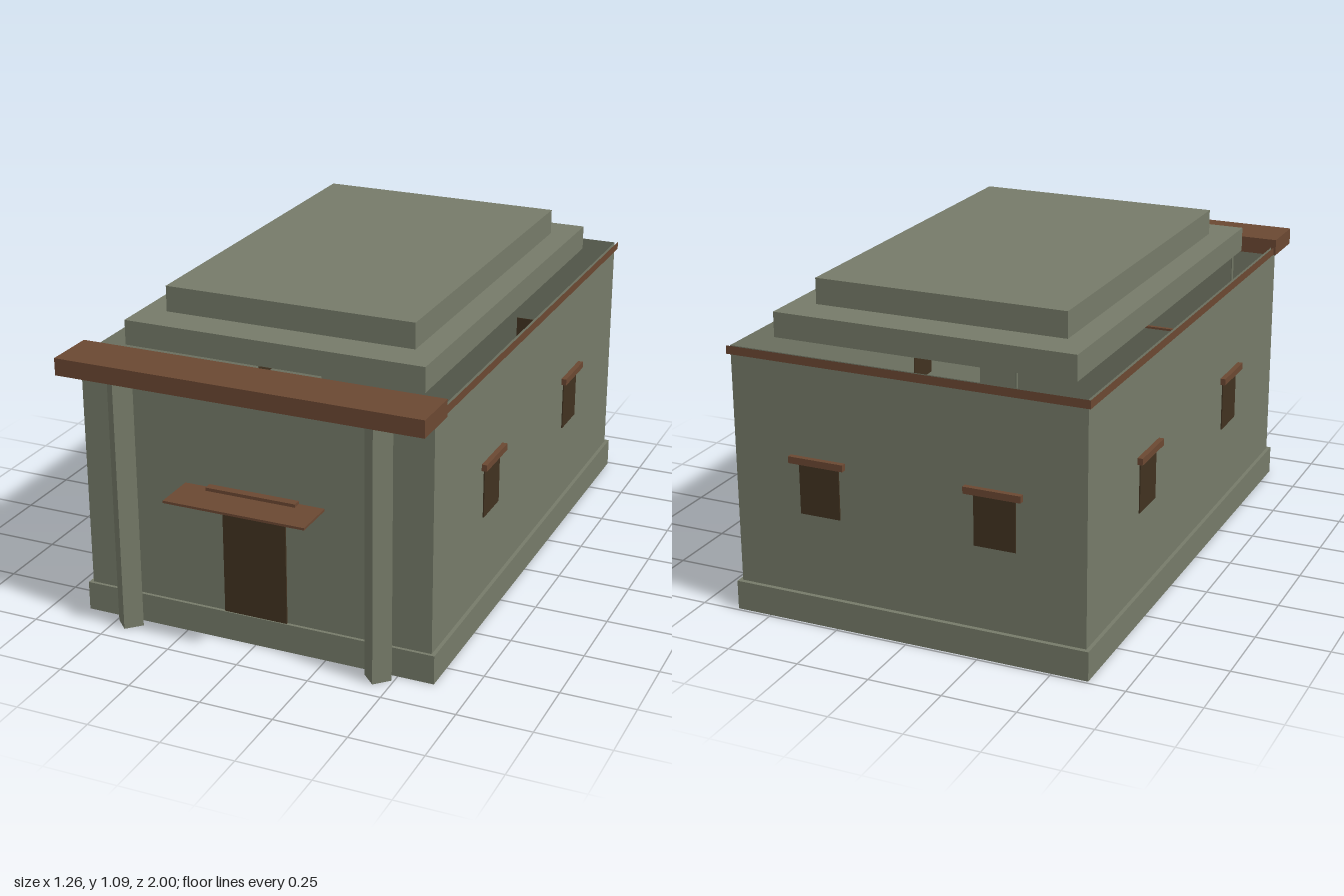
import * as THREE from 'three';
import { mergeGeometries } from 'three/addons/utils/BufferGeometryUtils.js';

export function createModel() {
  const model = new THREE.Group();
  model.name = 'flatRoofedHouse';

  const stone = new THREE.MeshStandardMaterial({ color: 0x767b69, side: THREE.DoubleSide });
  stone.name = 'greenGreyStone';
  const wood = new THREE.MeshStandardMaterial({ color: 0x6b4832 });
  wood.name = 'brownWood';
  const dark = new THREE.MeshStandardMaterial({ color: 0x413220 });
  dark.name = 'darkOpening';

  const add = (name, geometry, material) => {
    const mesh = new THREE.Mesh(geometry, material);
    mesh.name = name;
    model.add(mesh);
    return mesh;
  };

  // Box given by its limits on each axis
  const block = (name, material, x0, x1, y0, y1, z0, z1) => {
    const mesh = add(name, new THREE.BoxGeometry(x1 - x0, y1 - y0, z1 - z0), material);
    mesh.position.set((x0 + x1) / 2, (y0 + y1) / 2, (z0 + z1) / 2);
    return mesh;
  };

  // Four upright panels facing outwards, without top or bottom
  const ring = (halfX, y0, y1, z0, z1) => {
    const h = y1 - y0, d = z1 - z0, y = (y0 + y1) / 2, z = (z0 + z1) / 2;
    return mergeGeometries([
      new THREE.PlaneGeometry(2 * halfX, h).translate(0, y, z1),
      new THREE.PlaneGeometry(2 * halfX, h).rotateY(Math.PI).translate(0, y, z0),
      new THREE.PlaneGeometry(d, h).rotateY(Math.PI / 2).translate(halfX, y, z),
      new THREE.PlaneGeometry(d, h).rotateY(-Math.PI / 2).translate(-halfX, y, z),
    ]);
  };

  // Plinth, open below, whose top is also the floor
  add('plinth', ring(0.623, 0, 0.1, -0.99, 0.861), stone);
  add('floor', new THREE.PlaneGeometry(1.246, 1.851).rotateX(-Math.PI / 2).translate(0, 0.1, -0.0645), stone);
  for (const s of [-1, 1]) {
    for (const z of [-0.94, 0.81]) {
      block('cornerFoot', stone, s * 0.575 - 0.035, s * 0.575 + 0.035, 0.02, 0.099, z - 0.035, z + 0.035);
    }
  }

  // Thin walls around an open room
  add('walls', ring(0.61, 0.1, 0.914, -0.975, 0.85), stone);

  // Trim around the wall tops: outer faces and underside
  add('wallTrim', ring(0.62, 0.887, 0.915, -0.985, 0.86), wood);
  for (const s of [-1, 1]) {
    add('trimUnderside', new THREE.PlaneGeometry(0.01, 1.845).rotateX(Math.PI / 2)
      .translate(s * 0.615, 0.887, -0.0625), wood);
  }
  add('trimUnderside', new THREE.PlaneGeometry(1.24, 0.01).rotateX(Math.PI / 2)
    .translate(0, 0.887, -0.98), wood);

  // Stepped roof slabs
  block('lowerRoofSlab', stone, -0.523, 0.523, 0.915, 1.0, -0.853, 0.715);
  block('upperRoofSlab', stone, -0.438, 0.438, 1.0, 1.088, -0.727, 0.588);

  // Front beam on two square pillars set cornerwise
  block('frontBeam', wood, -0.628, 0.628, 0.886, 0.944, 0.797, 0.977);
  for (const s of [-1, 1]) {
    const pillar = block('frontPillar', stone, -0.033, 0.033, 0, 0.886, -0.033, 0.033);
    pillar.rotation.y = Math.PI / 4;
    pillar.position.set(s * 0.446, 0.443, 0.892);
  }

  // Door with lintel and flat awning
  block('door', dark, -0.111, 0.111, 0, 0.49, 0.851, 0.857);
  block('doorLintel', wood, -0.157, 0.157, 0.508, 0.543, 0.851, 0.88);
  block('doorAwning', wood, -0.245, 0.245, 0.524, 0.532, 0.835, 1.0);

  // Side windows, two on each long wall
  for (const s of [-1, 1]) {
    for (const z of [0.342, -0.472]) {
      const pane = block('sideWindow', dark, -0.003, 0.003, 0.38, 0.56, z - 0.071, z + 0.071);
      pane.position.x = s * 0.611;
      const lintel = block('sideWindowLintel', wood, -0.009, 0.009, 0.557, 0.58, z - 0.097, z + 0.097);
      lintel.position.x = s * 0.621;
    }
    // Back windows
    const x = s * 0.305;
    block('backWindow', dark, x - 0.071, x + 0.071, 0.38, 0.56, -0.979, -0.973);
    block('backWindowLintel', wood, x - 0.097, x + 0.097, 0.557, 0.58, -1.0, -0.982);
  }

  return model;
}
